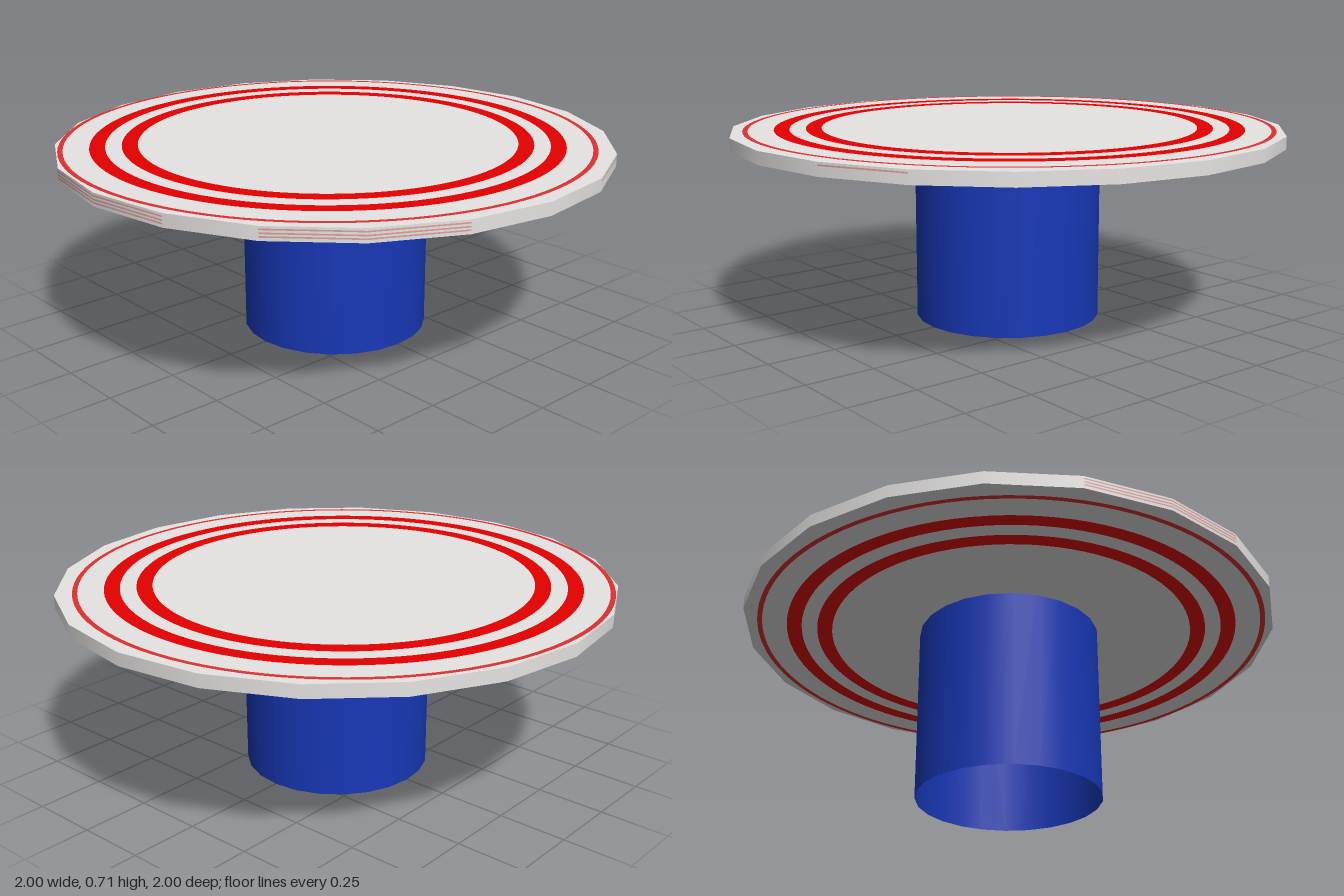
import * as THREE from 'three';

export function createModel() {
  const group = new THREE.Group();
  const grey = new THREE.MeshStandardMaterial({ name: 'light grey', color: 0xe7e5e4 });
  const red = new THREE.MeshStandardMaterial({ name: 'red', color: 0xe60000 });
  const fadedRed = new THREE.MeshStandardMaterial({ name: 'faded red', color: 0xe03030 });
  const pink = new THREE.MeshStandardMaterial({ name: 'pink', color: 0xe0a09a });
  const blue = new THREE.MeshStandardMaterial({ name: 'blue', color: 0x1838b8, side: THREE.DoubleSide });

  const bottom = 0.66, top = 0.706, lift = 0.0015;
  const sides = 20, turn = -0.015, step = Math.PI * 2 / sides;

  const add = (name, geometry, material, x = 0, y = 0, z = 0) => {
    const mesh = new THREE.Mesh(geometry, material);
    mesh.name = name;
    mesh.position.set(x, y, z);
    group.add(mesh);
    return mesh;
  };

  // Open hollow pedestal
  add('pedestal', new THREE.CylinderGeometry(0.34, 0.34, bottom, 24, 1, true), blue, 0, bottom / 2, 0);

  // Twenty-sided table top, turned very slightly
  add('tableTop',
    new THREE.CylinderGeometry(1, 1, top - bottom, sides, 1, false, turn), grey, 0, (top + bottom) / 2, 0);

  // Painted rings, slightly off centre, mirrored between the two faces
  const rings = [
    ['innerRing', 0.684, 0.74, red],
    ['middleRing', 0.798, 0.853, red],
    ['outerRing', 0.944, 0.962, fadedRed],
  ];
  for (const [name, inner, outer, paint] of rings) {
    const ring = new THREE.RingGeometry(inner, outer, 96);
    add(name + 'Top', ring, paint, -0.02, top + lift, 0.014).rotation.x = -Math.PI / 2;
    add(name + 'Bottom', ring, paint, 0.02, bottom - lift, -0.016).rotation.x = Math.PI / 2;
  }

  // Faint painted streaks on the rim: first facet, facet count, heights
  const streaks = [
    [-1, 2, [0.673, 0.684, 0.696]],
    [2, 2, [0.673, 0.684, 0.696]],
    [6, 1, [0.696]],
  ];
  for (const [first, count, heights] of streaks) {
    const streak = new THREE.CylinderGeometry(
      1.001, 1.001, 0.005, count, 1, true, turn + first * step, count * step);
    for (const y of heights) add('rimStreak', streak, pink, 0, y, 0);
  }
  return group;
}
